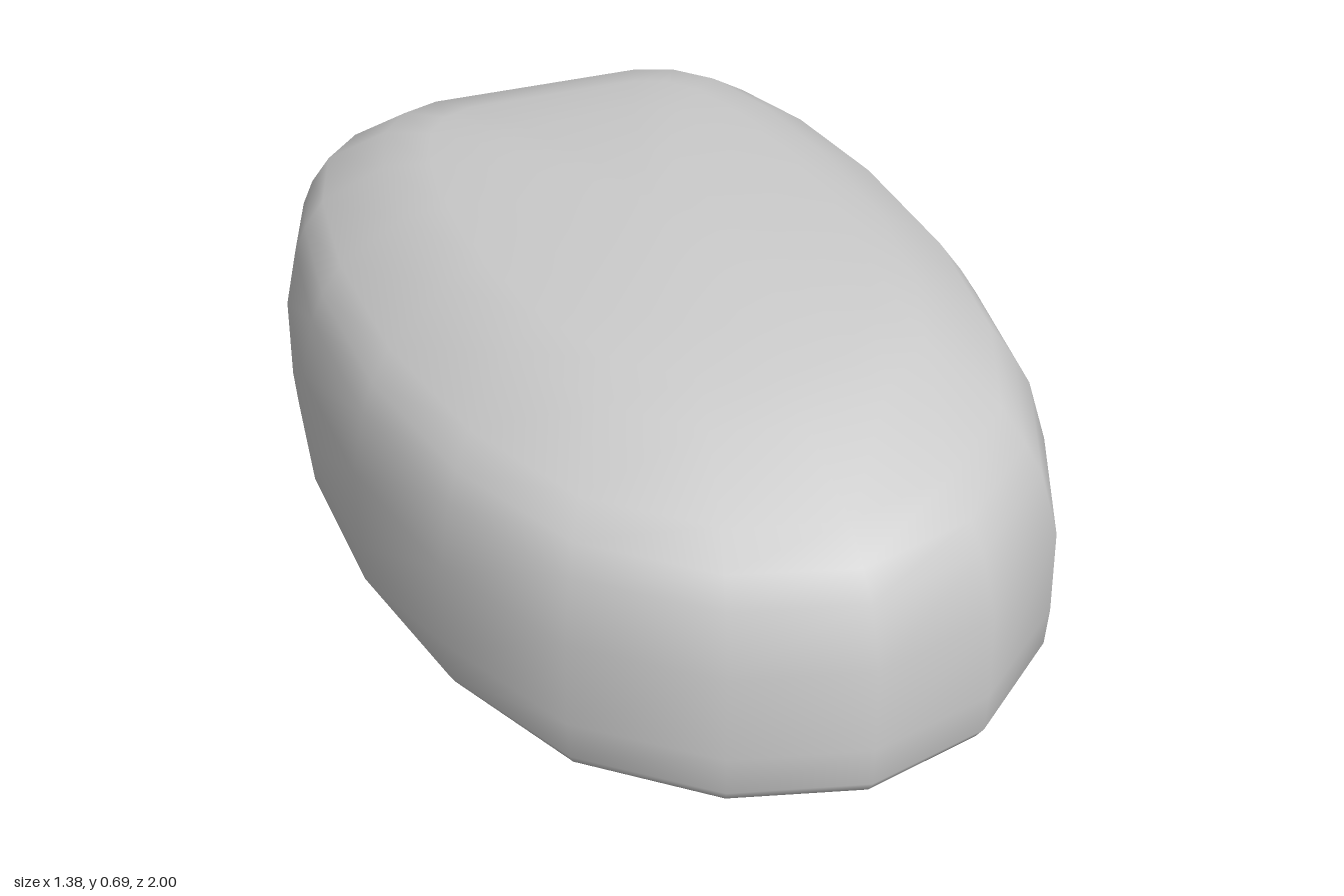
import * as THREE from 'three';
import { mergeGeometries, mergeVertices } from 'three/addons/utils/BufferGeometryUtils.js';

// Half of the footprint, front to back: [x, z]
const HALF = [
  [0, 1], [0.26, 0.93], [0.49, 0.73], [0.625, 0.42], [0.69, 0.05],
  [0.69, -0.34], [0.645, -0.65], [0.57, -0.86], [0.47, -0.96], [0.35, -1],
];
// Level rings, bottom to top: [y, half width, front z, back z]
const RINGS = [
  [0, 0, -0.05, -0.05], [0, 0.61, 0.91, -0.9], [0.012, 0.665, 0.975, -1],
  [0.04, 0.682, 0.995, -1], [0.12, 0.69, 1, -1], [0.295, 0.69, 1, -1],
  [0.415, 0.66, 0.96, -1], [0.465, 0.632, 0.92, -0.998], [0.525, 0.59, 0.86, -0.97],
  [0.61, 0.46, 0.67, -0.86], [0.637, 0.37, 0.54, -0.75], [0.663, 0.25, 0.38, -0.57],
  [0.679, 0.11, 0.12, -0.35], [0.685, 0, -0.12, -0.12],
];
const WALL_FROM = 2, WALL_TO = 7; // rings joined by the flat back wall
const HOLE = { y: 0.218, rx: 0.23, ry: 0.203 };

const OUTLINE = [...HALF, ...HALF.slice(1).reverse().map(([x, z]) => [-x, z])];
const BACK = HALF.length - 1; // index of the straight back segment

function ringPoint([y, w, front, back], [x, z]) {
  return [x / 0.69 * w, y, back + (z + 1) / 2 * (front - back)];
}

// Domed shell, open where the back wall goes
function shellGeometry() {
  const n = OUTLINE.length, index = [];
  const position = RINGS.flatMap(r => OUTLINE.flatMap(p => ringPoint(r, p)));
  for (let r = 0; r < RINGS.length - 1; r++) {
    for (let i = 0; i < n; i++) {
      if (i === BACK && r >= WALL_FROM && r < WALL_TO) continue;
      const a = r * n + i, b = r * n + (i + 1) % n, c = b + n, d = a + n;
      if (r > 0) index.push(a, b, c);
      if (r === 0) index.push(a, c, d);
      else if (r < RINGS.length - 2) index.push(a, c, d);
    }
  }
  const g = new THREE.BufferGeometry();
  g.setAttribute('position', new THREE.Float32BufferAttribute(position, 3));
  g.setIndex(index);
  return g;
}

// Back wall with the round entrance
function backWallGeometry() {
  const side = RINGS.slice(WALL_FROM, WALL_TO + 1).map(r => ringPoint(r, HALF[BACK]));
  const shape = new THREE.Shape([
    ...side.map(([x, y]) => new THREE.Vector2(x, y)),
    ...side.map(([x, y]) => new THREE.Vector2(-x, y)).reverse(),
  ]);
  shape.holes.push(new THREE.Path().absellipse(0, HOLE.y, HOLE.rx, HOLE.ry, 0, Math.PI * 2, true));
  const g = new THREE.ShapeGeometry(shape, 24).rotateY(Math.PI);
  const p = g.attributes.position;
  const topY = RINGS[WALL_TO][0];
  for (let i = 0; i < p.count; i++) {
    p.setZ(i, Math.abs(p.getY(i) - topY) < 1e-4 ? RINGS[WALL_TO][3] : -1);
  }
  g.deleteAttribute('uv');
  g.deleteAttribute('normal');
  return g;
}

export function createModel() {
  const group = new THREE.Group();
  group.name = 'pebbleShelter';
  const geometry = mergeVertices(mergeGeometries([shellGeometry(), backWallGeometry()]), 1e-4);
  geometry.computeVertexNormals();
  const shell = new THREE.Mesh(geometry,
    new THREE.MeshStandardMaterial({ color: 0xcccccc, side: THREE.DoubleSide }));
  shell.name = 'hollowShell';
  group.add(shell);
  return group;
}
